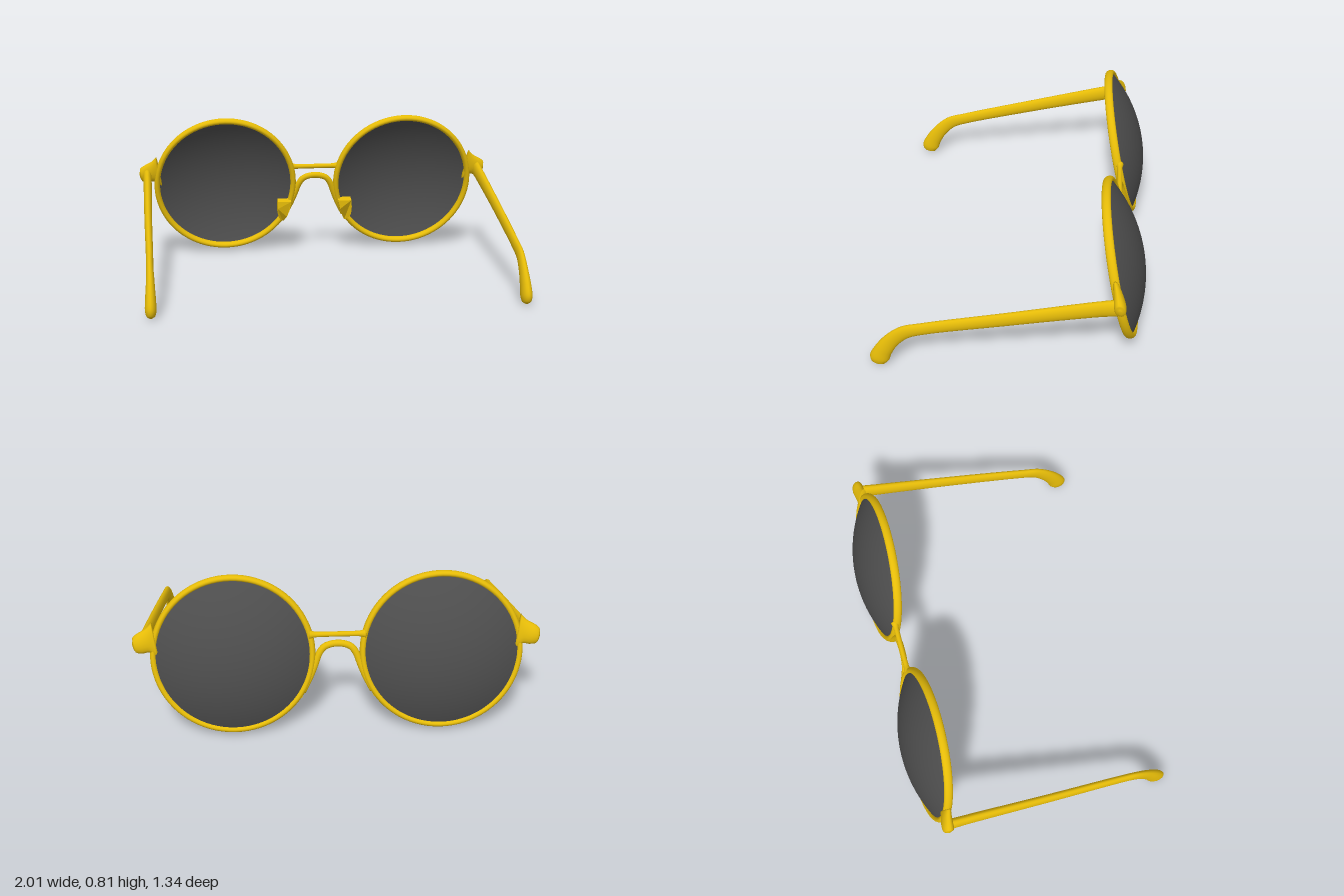
import * as THREE from 'three';

const gold = new THREE.MeshStandardMaterial({ color: 0xe6bc08 });
const dark = new THREE.MeshStandardMaterial({ color: 0x4d4d4d, side: THREE.DoubleSide });

const RIM = 0.39, LENS_X = 0.515;

function addMesh(parent, name, geometry, material = gold) {
  const mesh = new THREE.Mesh(geometry, material);
  mesh.name = name;
  parent.add(mesh);
  return mesh;
}

// Sweeps an ellipse along stations [x, y, z, halfAlongSide, halfAcross], closed at both ends
function sweep(stations, sideAxis, steps = 40, sides = 16) {
  const path = new THREE.CatmullRomCurve3(stations.map(s => new THREE.Vector3(s[0], s[1], s[2])));
  const size = new THREE.CatmullRomCurve3(
    stations.map(s => new THREE.Vector3(s[3], s[4], 0)), false, 'catmullrom', 0.4);
  const positions = [], index = [];
  for (let i = -1; i <= steps + 1; i++) {
    const t = THREE.MathUtils.clamp(i / steps, 0, 1);
    const grow = i < 0 || i > steps ? 0 : 1;
    const centre = path.getPoint(t), r = size.getPoint(t), tangent = path.getTangent(t);
    const side = sideAxis.clone().addScaledVector(tangent, -sideAxis.dot(tangent)).normalize();
    const across = tangent.clone().cross(side);
    for (let j = 0; j < sides; j++) {
      const a = (j / sides) * Math.PI * 2;
      const p = centre.clone()
        .addScaledVector(side, Math.cos(a) * r.x * grow)
        .addScaledVector(across, Math.sin(a) * r.y * grow);
      positions.push(p.x, p.y, p.z);
    }
  }
  for (let i = 0; i < steps + 2; i++) {
    for (let j = 0; j < sides; j++) {
      const k = (j + 1) % sides;
      const a = i * sides + j, b = i * sides + k, c = a + sides, d = b + sides;
      index.push(a, b, c, b, d, c);
    }
  }
  const geometry = new THREE.BufferGeometry();
  geometry.setAttribute('position', new THREE.Float32BufferAttribute(positions, 3));
  geometry.setIndex(index);
  geometry.computeVertexNormals();
  return geometry;
}

// Shallow spherical cap bulging towards -z
function lensGeometry() {
  const r = 0.386, sag = 0.11;
  const sphere = (r * r + sag * sag) / (2 * sag);
  const g = new THREE.SphereGeometry(sphere, 64, 16, 0, Math.PI * 2, 0, Math.asin(r / sphere));
  return g.rotateX(-Math.PI / 2).translate(0, 0, sphere - sag - 0.008);
}

// Nose pad: flat-topped outline whose rear face is domed by height
function padGeometry(s) {
  const shape = new THREE.Shape();
  shape.moveTo(s * 0.138, -0.1);
  shape.lineTo(s * 0.215, -0.1);
  shape.lineTo(s * 0.217, -0.14);
  shape.lineTo(s * 0.215, -0.18);
  shape.quadraticCurveTo(s * 0.205, -0.22, s * 0.18, -0.235);
  shape.lineTo(s * 0.163, -0.195);
  shape.lineTo(s * 0.148, -0.15);
  const g = new THREE.ExtrudeGeometry(shape, { depth: 1, bevelEnabled: false, curveSegments: 8 });
  const p = g.attributes.position;
  for (let i = 0; i < p.count; i++) {
    const u = (p.getY(i) + 0.15) / 0.09;
    p.setZ(i, p.getZ(i) > 0.5 ? 0.056 * Math.sqrt(Math.max(0, 1 - u * u)) : -0.004);
  }
  g.computeVertexNormals();
  return g;
}

export function createModel() {
  const model = new THREE.Group();
  model.name = 'sunglasses';
  const X = new THREE.Vector3(1, 0, 0), Z = new THREE.Vector3(0, 0, 1);

  // Tilted front frame
  const front = new THREE.Group();
  front.name = 'frontFrame';
  front.position.set(0, 0.41, -0.54);
  front.rotation.x = 0.227;
  model.add(front);

  // Double bridge: straight upper bar and arched lower bar running down the rims
  addMesh(front, 'upperBridge', sweep([
    [-0.14, 0.098, -0.012, 0.02, 0.022], [-0.105, 0.098, -0.012, 0.014, 0.014],
    [0, 0.098, -0.012, 0.013, 0.013],
    [0.105, 0.098, -0.012, 0.014, 0.014], [0.14, 0.098, -0.012, 0.02, 0.022],
  ], Z));
  const arch = [[0.175, -0.2], [0.138, -0.125], [0.112, -0.06], [0.092, -0.005], [0.068, 0.028], [0.035, 0.043]];
  const station = (s, [x, y]) => [s * x, y, 0, 0.016, 0.017];
  addMesh(front, 'lowerBridge', sweep([
    ...arch.map(p => station(-1, p)), station(1, [0, 0.047]),
    ...arch.slice().reverse().map(p => station(1, p)),
  ], Z, 72));

  for (const s of [1, -1]) {
    const label = s > 0 ? 'left' : 'right';

    // Rim and lens
    const rim = addMesh(front, label + 'Rim', new THREE.TorusGeometry(RIM, 0.016, 16, 80).scale(1, 1, 1.4));
    rim.position.x = s * LENS_X;
    const lens = addMesh(front, label + 'Lens', lensGeometry(), dark);
    lens.position.x = s * LENS_X;

    addMesh(front, label + 'NosePad', padGeometry(s));

    // End piece carrying the hinge
    addMesh(front, label + 'EndPiece', sweep([
      [s * 0.892, 0.09, -0.006, 0.019, 0.09], [s * 0.93, 0.084, -0.01, 0.025, 0.06],
      [s * 0.965, 0.072, -0.012, 0.029, 0.052], [s * 0.99, 0.064, -0.012, 0.025, 0.04],
      [s * 1.0, 0.062, -0.012, 0.008, 0.015],
    ], Z, 24));

    // Temple arm with the drooping ear tip
    addMesh(model, label + 'Temple', sweep([
      [s * 0.96, 0.472, -0.545, 0.016, 0.03], [s * 0.959, 0.468, -0.52, 0.024, 0.046],
      [s * 0.956, 0.455, -0.45, 0.023, 0.044], [s * 0.945, 0.348, 0, 0.02, 0.037],
      [s * 0.932, 0.248, 0.4, 0.018, 0.034], [s * 0.93, 0.217, 0.49, 0.018, 0.038],
      [s * 0.928, 0.16, 0.555, 0.021, 0.041], [s * 0.928, 0.09, 0.602, 0.026, 0.046],
      [s * 0.928, 0.042, 0.622, 0.028, 0.049], [s * 0.928, 0.013, 0.628, 0.021, 0.035],
      [s * 0.928, 0.003, 0.63, 0.006, 0.012],
    ], X, 80));
  }
  return model;
}
